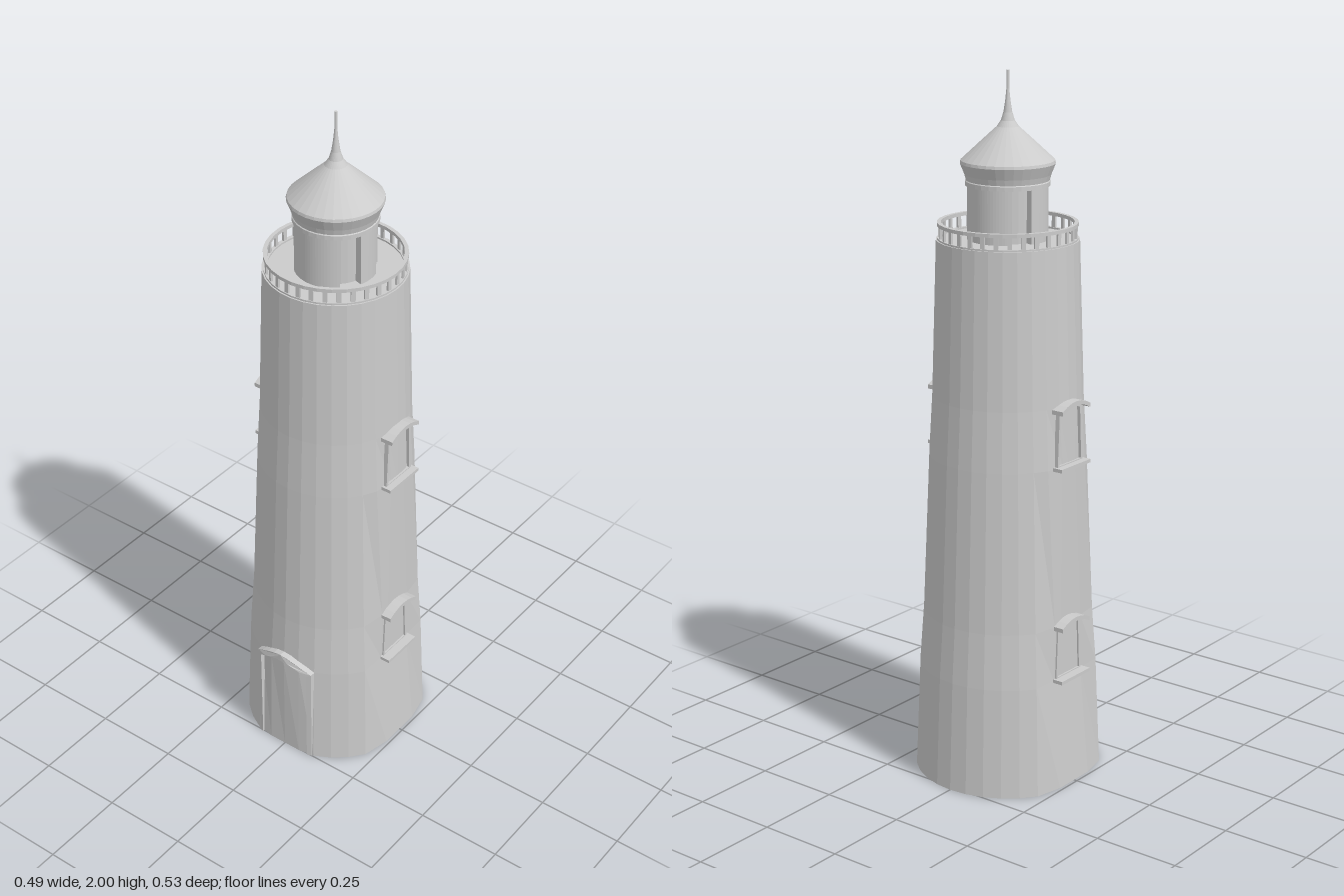
import * as THREE from 'three';

const SEG = 32;
const mat = new THREE.MeshStandardMaterial({ color: 0xcccccc, flatShading: true, side: THREE.DoubleSide });

function add(parent, name, geo, x = 0, y = 0, z = 0) {
  const m = new THREE.Mesh(geo, mat);
  m.name = name;
  m.position.set(x, y, z);
  parent.add(m);
  return m;
}
const lathe = pts => new THREE.LatheGeometry(pts.map(p => new THREE.Vector2(p[0], p[1])), SEG);
const poly = pts => new THREE.Shape(pts.map(p => new THREE.Vector2(p[0], p[1])));
const extrude = (shape, depth, curveSegments = 8) =>
  new THREE.ExtrudeGeometry(shape, { depth, bevelEnabled: false, curveSegments });

// Upright wall following an arc, between two radii
function arcWall(r0, r1, a0, a1, height) {
  const s = new THREE.Shape();
  s.absarc(0, 0, r1, a0, a1, false);
  s.absarc(0, 0, r0, a1, a0, true);
  return extrude(s, height, 10).rotateX(-Math.PI / 2);
}

// Tapered tower, flattened behind the windows and the door
function towerGeometry() {
  const g = lathe([[0, 0], [0.267, 0], [0.253, 0.32], [0.241, 0.48], [0.221, 0.94],
    [0.211, 1.11], [0.197, 1.545], [0, 1.545]]);
  const p = g.attributes.position;
  for (let i = 0; i < p.count; i++) {
    const x = p.getX(i), y = p.getY(i), z = p.getZ(i);
    const limit = y < 0.32 ? 0.24 - 0.028 * y / 0.32 : 0.212;
    if (Math.abs(x) > limit) {
      p.setX(i, Math.sign(x) * limit);
      p.setZ(i, z * 0.65);
    }
    if (y < 0.3 && z > 0.254) p.setZ(i, 0.254);
  }
  g.computeVertexNormals();
  return g;
}

// Door surround with a pointed arch, bent around the tower
function doorFrameGeometry() {
  const outline = (w, spring, apex) => {
    const pts = [[-w, 0]];
    for (let i = 0; i <= 8; i++) {
      const t = i / 4 - 1;
      pts.push([w * t, spring + (apex - spring) * (1 - Math.pow(Math.abs(t), 1.6))]);
    }
    pts.push([w, 0]);
    return pts;
  };
  const inner = outline(0.083, 0.31, 0.342).reverse();
  const g = extrude(poly([...outline(0.097, 0.32, 0.362), ...inner]), 0.03);
  const p = g.attributes.position;
  for (let i = 0; i < p.count; i++) {
    const x = p.getX(i);
    p.setZ(i, Math.sqrt(0.268 ** 2 - x * x) - 0.03 + p.getZ(i));
  }
  g.computeVertexNormals();
  return g;
}

// Window with tapered jambs, sill and arched hood, facing +z
function makeWindow(y0, y1, reach) {
  const w = new THREE.Group();
  const h = y1 - y0;
  const frame = poly([[-0.058, 0], [0.058, 0], [0.05, h - 0.02], [0, h - 0.004], [-0.05, h - 0.02]]);
  frame.holes.push(poly([[-0.05, 0.008], [-0.043, h - 0.028], [0, h - 0.016], [0.043, h - 0.028], [0.05, 0.008]]));
  add(w, 'windowJambs', extrude(frame, 0.022), 0, y0, 0.195);
  const depth = reach - 0.195;
  add(w, 'windowSill', new THREE.BoxGeometry(0.132, 0.01, depth), 0, y0, 0.195 + depth / 2);
  const top = [], under = [];
  for (let i = 0; i <= 6; i++) {
    const t = i / 3 - 1, rise = 0.018 * (1 - t * t);
    top.push([0.063 * t, h - 0.018 + rise]);
    under.unshift([0.063 * t, h - 0.03 + rise]);
  }
  add(w, 'windowHood', extrude(poly([...top, ...under]), depth), 0, y0, 0.195);
  return w;
}

export function createModel() {
  const model = new THREE.Group();
  model.name = 'lighthouse';

  add(model, 'tower', towerGeometry());
  add(model, 'doorFrame', doorFrameGeometry());

  // Two windows on each side
  for (const side of [1, -1]) {
    for (const [name, y0, y1, reach] of [['lowerWindow', 0.32, 0.5, 0.243], ['upperWindow', 0.94, 1.125, 0.237]]) {
      const w = makeWindow(y0, y1, reach);
      w.name = name;
      w.rotation.y = side * Math.PI / 2;
      model.add(w);
    }
  }

  // Gallery railing
  const railing = new THREE.Group();
  railing.name = 'railing';
  model.add(railing);
  const rail = (y0, y1) => lathe([[0.182, y0], [0.193, y0], [0.193, y1], [0.182, y1], [0.182, y0]]);
  add(railing, 'topRail', rail(1.582, 1.592));
  add(railing, 'bottomRail', rail(1.543, 1.55));
  for (let i = 0; i < SEG; i++) {
    const a = (i + 0.5) / SEG * Math.PI * 2;
    const b = add(railing, 'baluster', new THREE.BoxGeometry(0.012, 0.04, 0.006),
      0.187 * Math.sin(a), 1.564, 0.187 * Math.cos(a));
    b.rotation.y = a;
  }

  // Lantern room: core, walls between four openings, and a band above
  const lantern = new THREE.Group();
  lantern.name = 'lanternRoom';
  model.add(lantern);
  add(lantern, 'lanternCore', new THREE.CylinderGeometry(0.09, 0.09, 0.16, SEG), 0, 1.625, 0);
  const a0 = 0.31, a1 = 0.83;
  for (const half of [0, Math.PI]) {
    add(lantern, 'lanternPost', arcWall(0.088, 0.112, half - a0, half + a0, 0.15), 0, 1.545, 0);
    add(lantern, 'lanternWall', arcWall(0.088, 0.112, half + a1, half + Math.PI - a1, 0.15), 0, 1.545, 0);
  }
  add(lantern, 'lanternBand', lathe([[0.085, 1.692], [0.116, 1.692], [0.116, 1.704], [0.112, 1.708], [0.085, 1.708]]));

  // Flared roof with a concave tip and spike
  add(model, 'roof', lathe([[0, 1.7], [0.112, 1.7], [0.118, 1.722], [0.13, 1.752], [0.128, 1.76],
    [0.075, 1.809], [0.03, 1.85], [0.019, 1.866], [0.012, 1.888], [0.007, 1.92], [0.004, 1.95], [0.004, 2], [0, 2]]));

  return model;
}
